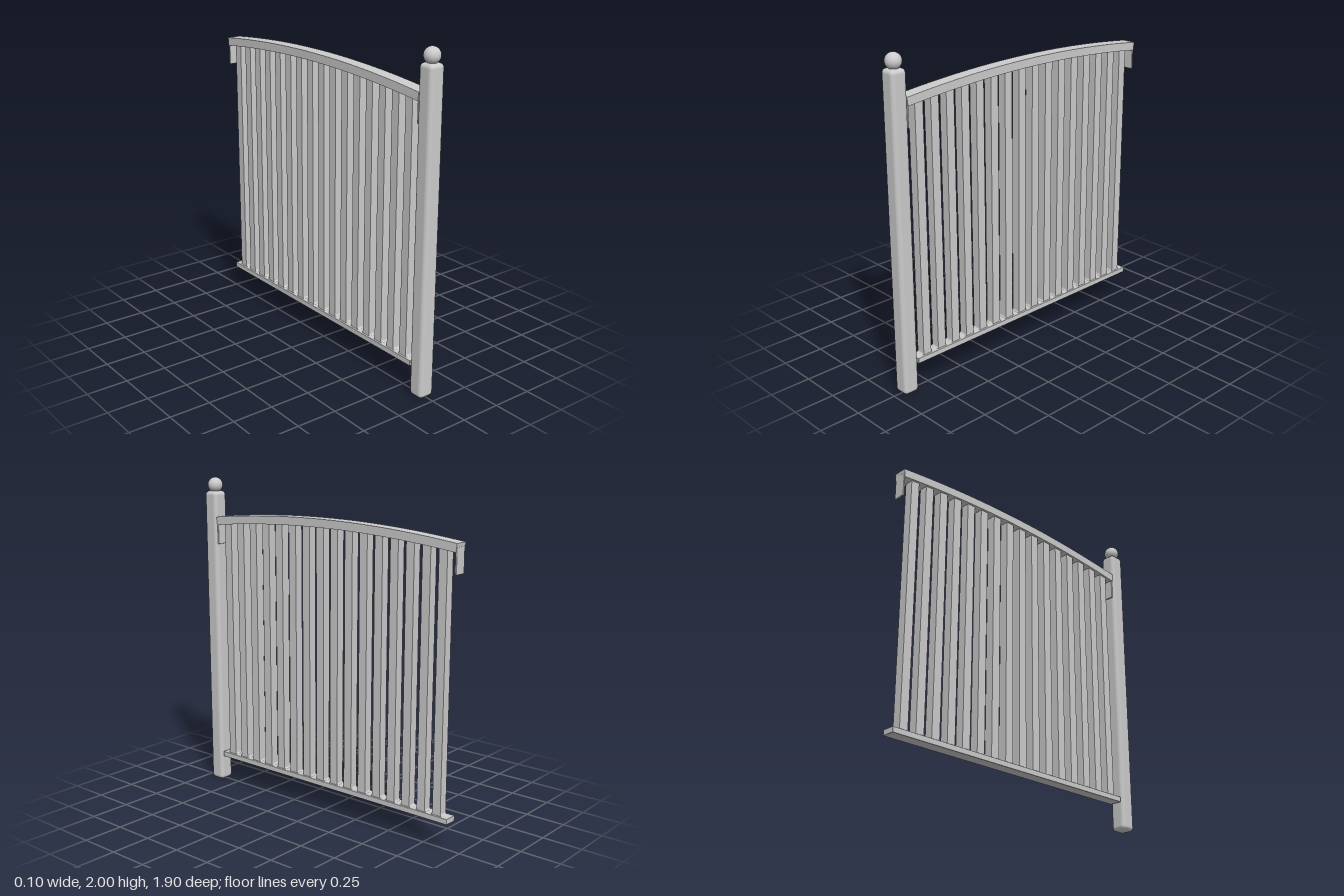
import * as THREE from 'three';
import { RoundedBoxGeometry } from 'three/addons/geometries/RoundedBoxGeometry.js';

const MID_Z = -0.047; // centre of the gate along z
const ARC_R = 7.67, ARC_Y = 1.81 - ARC_R, RAIL_H = 0.05;

// Extrudes a side outline (shape x = z, shape y = y) evenly about x = 0.
function sideExtrude(shape, width, curveSegments) {
  const geometry = new THREE.ExtrudeGeometry(shape, { depth: width, bevelEnabled: false, curveSegments });
  geometry.translate(0, 0, -width / 2);
  geometry.rotateY(-Math.PI / 2);
  return geometry;
}

export function createModel() {
  const gate = new THREE.Group();
  gate.name = 'gate';
  const material = new THREE.MeshStandardMaterial({ color: 0xcccccc });
  const add = (name, geometry, x = 0, y = 0, z = 0) => {
    const mesh = new THREE.Mesh(geometry, material);
    mesh.name = name;
    mesh.position.set(x, y, z);
    gate.add(mesh);
    return mesh;
  };

  // Post with softened edges and a ball on top
  add('post', new RoundedBoxGeometry(0.1, 1.915, 0.1, 4, 0.025), 0, 0.9575, 0.903);
  add('postBall', new THREE.SphereGeometry(0.047, 32, 20), 0, 1.953, 0.903);

  // Arched top rail
  const half = Math.asin(0.903 / ARC_R);
  const arch = new THREE.Shape();
  arch.absarc(MID_Z, ARC_Y, ARC_R, Math.PI / 2 + half, Math.PI / 2 - half, true);
  arch.absarc(MID_Z, ARC_Y, ARC_R - RAIL_H, Math.PI / 2 - half, Math.PI / 2 + half, false);
  add('topRail', sideExtrude(arch, 0.084, 24));

  // Hanging end plates under the top rail
  for (const side of [1, -1]) {
    add('endPlate', new RoundedBoxGeometry(0.076, 0.15, 0.011, 2, 0.004), 0, 1.66, MID_Z + side * 0.896);
  }

  // Bottom rail
  add('bottomRail', new RoundedBoxGeometry(0.08, 0.034, 1.78, 2, 0.004), 0, 0.184, -0.045);

  // Balusters, flared into the bottom rail and cut to the arch at the top
  const w = 0.0275, flare = 0.016, foot = 0.2;
  for (let i = 0; i < 16; i++) {
    const z = 0.768 - i * 0.1082;
    const top = ARC_Y + Math.sqrt((ARC_R - RAIL_H) ** 2 - (z - MID_Z) ** 2) + 0.01;
    const bar = new THREE.Shape();
    bar.moveTo(-w - flare, foot - 0.005);
    bar.lineTo(w + flare, foot - 0.005);
    bar.lineTo(w + flare, foot);
    bar.quadraticCurveTo(w, foot, w, foot + flare);
    bar.lineTo(w, top);
    bar.lineTo(-w, top);
    bar.lineTo(-w, foot + flare);
    bar.quadraticCurveTo(-w, foot, -w - flare, foot);
    add('baluster', sideExtrude(bar, 0.055, 6), 0, 0, z);
  }
  return gate;
}
